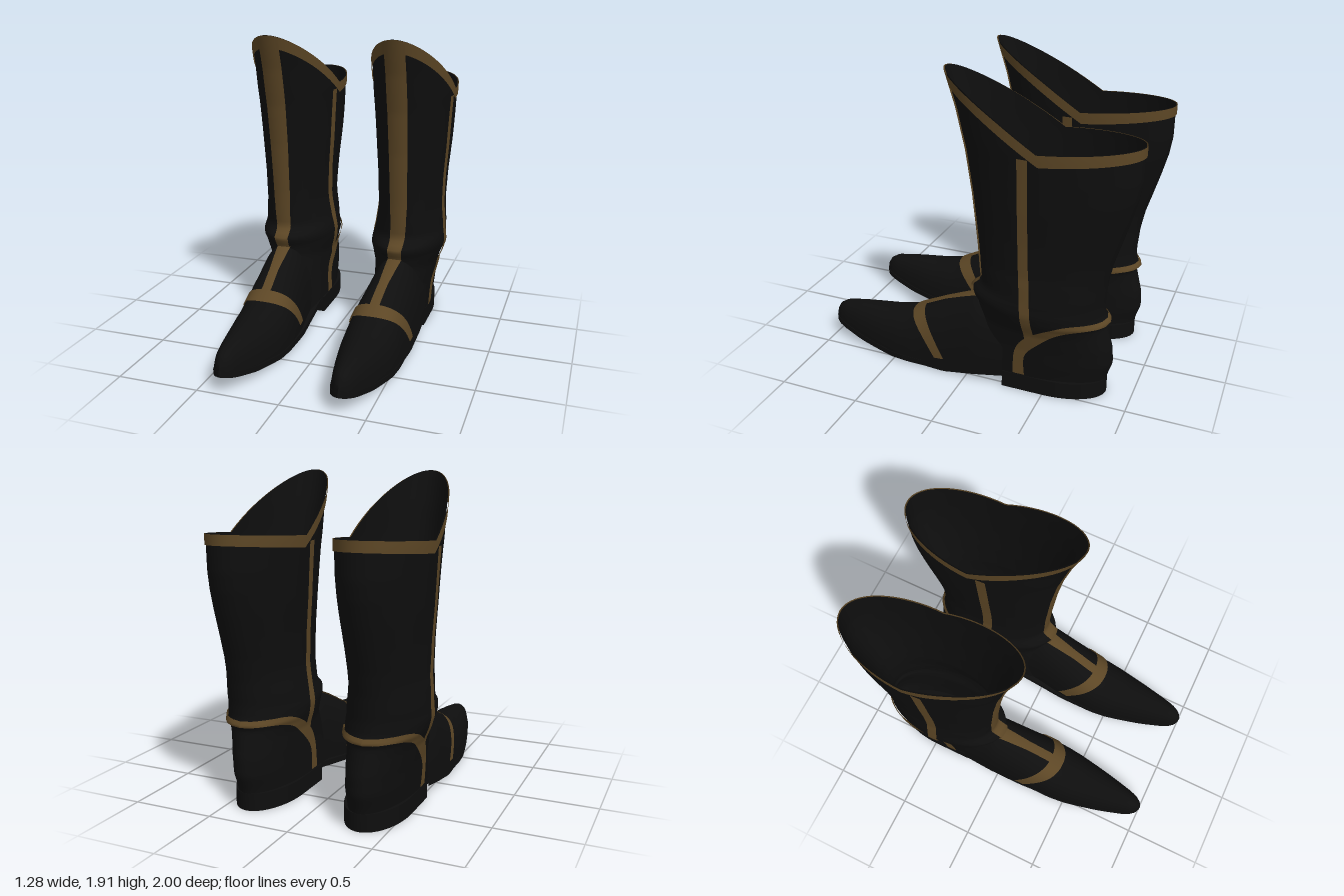
import * as THREE from 'three';
import { mergeVertices, toCreasedNormals } from 'three/addons/utils/BufferGeometryUtils.js';

// linear lookup in a small table of [key, value] pairs
function look(table, k) {
  if (k <= table[0][0]) return table[0][1];
  for (let i = 1; i < table.length; i++) {
    const [k0, v0] = table[i - 1], [k1, v1] = table[i];
    if (k <= k1) return v0 + (v1 - v0) * (k - k0) / (k1 - k0);
  }
  return table[table.length - 1][1];
}
const lerp = THREE.MathUtils.lerp;

// surface grid from f(u, v) -> [x, y, z], u and v in 0..1
function grid(nu, nv, f) {
  const pos = [], idx = [];
  for (let j = 0; j <= nv; j++) for (let i = 0; i <= nu; i++) pos.push(...f(i / nu, j / nv));
  for (let j = 0; j < nv; j++) for (let i = 0; i < nu; i++) {
    const a = j * (nu + 1) + i, b = a + 1, c = a + nu + 1, d = c + 1;
    idx.push(a, b, d, a, d, c);
  }
  let g = new THREE.BufferGeometry();
  g.setAttribute('position', new THREE.Float32BufferAttribute(pos, 3));
  g.setIndex(idx);
  g = mergeVertices(g, 1e-5);
  g.computeVertexNormals();
  return g;
}

// shaft profiles by height
const shaftFront = [[0.08, 0.12], [0.3, 0.02], [0.45, -0.05], [0.525, -0.037], [0.56, -0.015], [0.595, -0.005],
  [0.62, -0.04], [0.65, -0.07], [0.88, -0.053], [1.2, -0.02], [1.465, 0.02], [1.7, 0.075], [1.915, 0.144]];
const shaftBack = [[0.08, -0.84], [0.13, -0.85], [0.21, -0.877], [0.315, -0.87], [0.475, -0.825], [0.5, -0.848],
  [0.53, -0.825], [0.61, -0.818], [0.75, -0.83], [0.88, -0.856], [1.0, -0.893], [1.144, -0.936], [1.28, -0.972], [1.385, -0.988], [1.6, -0.988]];
const shaftWidth = [[0.08, 0.178], [0.3, 0.186], [0.42, 0.198], [0.5, 0.224], [0.56, 0.234], [0.65, 0.224],
  [0.8, 0.207], [1.0, 0.213], [1.2, 0.228], [1.55, 0.246]];
const shaftMid = [[0.08, 0.35], [0.3, 0.36], [0.55, 0.378], [0.75, 0.388]];

// foot profiles along z
const footTop = [[-0.25, 0.48], [-0.05, 0.525], [0.05, 0.485], [0.2, 0.42], [0.41, 0.313], [0.57, 0.283],
  [0.8, 0.262], [0.92, 0.244], [0.97, 0.215], [1.0, 0.165]];
const footBottom = [[-0.25, 0.075], [0.14, 0.006], [0.52, 0.01], [0.76, 0.043], [0.9, 0.078], [1.0, 0.105]];
const footWidth = [[-0.25, 0.165], [0, 0.172], [0.2, 0.18], [0.4, 0.18], [0.5, 0.17], [0.6, 0.152], [0.7, 0.131],
  [0.8, 0.107], [0.9, 0.08], [0.95, 0.061], [0.985, 0.035], [1.0, 0.006]];
const footMid = [[-0.05, 0.376], [0.3, 0.352], [1, 0.35]];

const topEdge = (a) => 1.556 + (Math.cos(a) > 0 ? 0.357 : -0.036) * Math.cos(a);

function createBoot(side, leather, trim) {
  const boot = new THREE.Group();
  const add = (name, geo, mat) => {
    const m = new THREE.Mesh(geo, mat);
    m.name = name;
    boot.add(m);
  };

  // point on the shaft at angle a (0 = front) and height y
  const shaftAt = (a, y, off = 0) => {
    const f = look(shaftFront, y), b = look(shaftBack, y);
    return [side * look(shaftMid, y) + (look(shaftWidth, y) + off) * Math.sin(a), y,
      (f + b) / 2 + ((f - b) / 2 + off) * Math.cos(a)];
  };
  const angleAt = (z, y) => {
    const f = look(shaftFront, y), b = look(shaftBack, y);
    return Math.acos(THREE.MathUtils.clamp((2 * z - f - b) / (f - b), -1, 1));
  };
  // point on the foot at angle a (0 = top, +-90 degrees = sole edge)
  const footAt = (a, z, off = 0) => {
    const b = look(footBottom, z), s = Math.sin(a), c = Math.max(0, Math.cos(a));
    return [side * look(footMid, z) + (look(footWidth, z) + off) * Math.sign(s) * Math.abs(s) ** 0.9,
      b + (look(footTop, z) - b + off) * c ** 0.75, z];
  };

  // leather shell
  add('shaft', grid(64, 76, (u, v) => {
    const a = (u * 2 - 1) * Math.PI, k = lerp(0.08, 1.6, v);
    return shaftAt(a, k < 1.2 ? k : lerp(1.2, topEdge(a), (k - 1.2) / 0.4));
  }), leather);
  add('foot', grid(36, 60, (u, v) => footAt((u - 0.5) * Math.PI, lerp(-0.25, 1, 1 - (1 - v) ** 1.5))), leather);

  // sole and heel
  const corners = [[-1, 0], [1, 0], [1, 1], [-1, 1], [-1, 0]];
  const sole = grid(4, 44, (u, v) => {
    const z = lerp(-0.3, 1, 1 - (1 - v) ** 1.5), [sx, sy] = corners[Math.round(u * 4)];
    return [side * 0.35 + sx * (look(footWidth, z) + 0.004), look(footBottom, z) + sy * 0.035, z];
  });
  add('sole', toCreasedNormals(sole, 0.7), leather);
  const outline = new THREE.Shape();
  outline.moveTo(-0.182, 0.245);
  outline.lineTo(0.182, 0.245);
  outline.lineTo(0.182, 0.5);
  outline.absellipse(0, 0.5, 0.182, 0.345, 0, Math.PI, false);
  outline.closePath();
  const heel = new THREE.ExtrudeGeometry(outline, { depth: 0.105, bevelEnabled: false, curveSegments: 24 });
  heel.rotateX(-Math.PI / 2).translate(side * 0.35, 0, 0);
  add('heel', toCreasedNormals(heel, 0.6), leather);

  // trim along the top edge
  add('topBand', grid(64, 3, (u, v) => {
    const a = (u * 2 - 1) * Math.PI;
    return shaftAt(a, topEdge(a) - (1 - v) * lerp(0.06, 0.078, (1 + Math.cos(a)) / 2), 0.008);
  }), trim);

  // trim down the front of the shaft and along the instep
  add('frontStripe', grid(6, 60, (u, v) => {
    const y = lerp(0.5, 1.9, v), w = lerp(0.17, 0.25, Math.min(1, v * 4));
    return shaftAt((u * 2 - 1) * w, y, 0.009);
  }), trim);
  add('instepStripe', grid(6, 24, (u, v) =>
    footAt((u * 2 - 1) * lerp(0.22, 0.13, Math.min(1, v * 2)), lerp(-0.06, 0.39, v), 0.009)), trim);

  // trim band across the toe
  add('toeBand', grid(40, 3, (u, v) => {
    const a = (u - 0.5) * 2.9, h = Math.cos(a) ** 0.75;
    return footAt(a, 0.09 + 0.235 * h + v * lerp(0.06, 0.085, h), 0.008);
  }), trim);

  // trim on both flanks: vertical stripe and the arc around the heel
  const upper = new THREE.SplineCurve([[-0.32, 0.12], [-0.335, 0.29], [-0.42, 0.41], [-0.6, 0.515], [-0.75, 0.533], [-0.9, 0.518]]
    .map((p) => new THREE.Vector2(...p)));
  const lower = new THREE.SplineCurve([[-0.39, 0.12], [-0.395, 0.26], [-0.475, 0.36], [-0.6, 0.46], [-0.75, 0.497], [-0.9, 0.488]]
    .map((p) => new THREE.Vector2(...p)));
  for (const s of [-1, 1]) {
    add('sideStripe', grid(3, 50, (u, v) => {
      const y = lerp(0.38, 1.52, v), z = look([[0.38, -0.4], [0.55, -0.385], [0.9, -0.365]], y) - u * 0.06;
      return shaftAt(s * angleAt(z, y), y, 0.009);
    }), trim);
    add('heelArc', grid(4, 48, (u, v) => {
      const p = upper.getPoint(v).lerp(lower.getPoint(v), u);
      return shaftAt(s * angleAt(p.x, p.y), p.y, 0.011);
    }), trim);
  }
  return boot;
}

export function createModel() {
  const leather = new THREE.MeshStandardMaterial({ color: 0x0e0e0e, side: THREE.DoubleSide });
  leather.name = 'black leather';
  const trim = new THREE.MeshStandardMaterial({ color: 0x5c4625, side: THREE.DoubleSide });
  trim.name = 'bronze trim';

  const model = new THREE.Group();
  model.name = 'boots';
  for (const [name, side] of [['leftBoot', 1], ['rightBoot', -1]]) {
    const boot = createBoot(side, leather, trim);
    boot.name = name;
    model.add(boot);
  }
  return model;
}
